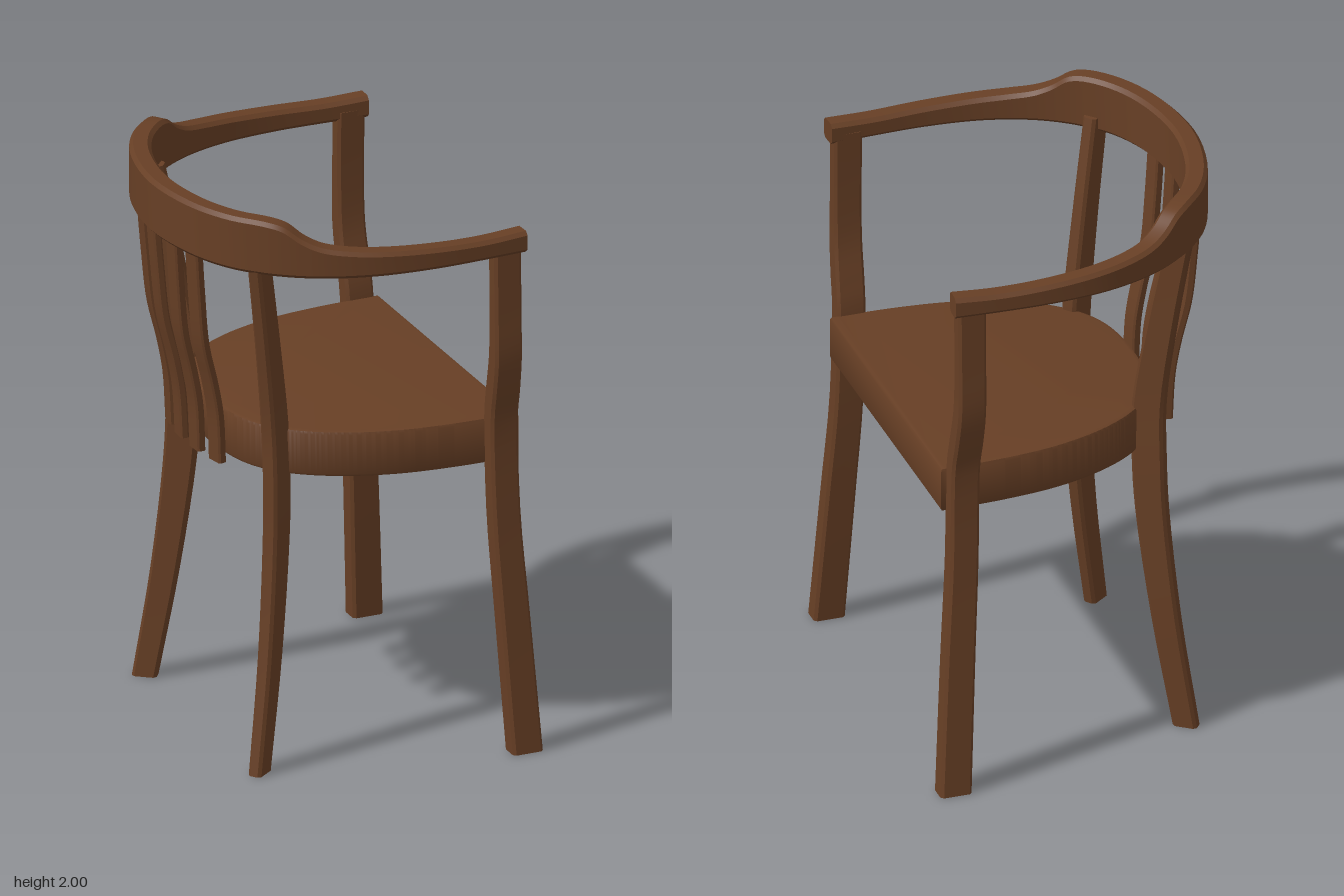
import * as THREE from 'three';
import { toCreasedNormals } from 'three/addons/utils/BufferGeometryUtils.js';

const V = (x, y, z) => new THREE.Vector3(x, y, z);

// Corners of a chamfered rectangle, counterclockwise, in the u/v plane
function ring(center, u, v, w, h, c = 0.01) {
  const a = w / 2, b = h / 2;
  return [[a, c - b], [a, b - c], [a - c, b], [c - a, b], [-a, b - c], [-a, c - b], [c - a, -b], [a - c, -b]]
    .map(([p, q]) => center.clone().addScaledVector(u, p).addScaledVector(v, q));
}

// Closed solid through a list of rings
function loft(rings) {
  const pos = [], n = rings[0].length;
  const tri = (...pts) => pts.forEach((p) => pos.push(p.x, p.y, p.z));
  for (let i = 0; i < rings.length - 1; i++) {
    for (let j = 0; j < n; j++) {
      const k = (j + 1) % n, a = rings[i], b = rings[i + 1];
      tri(a[j], a[k], b[k]);
      tri(a[j], b[k], b[j]);
    }
  }
  const s = rings[0], e = rings[rings.length - 1];
  for (let j = 1; j < n - 1; j++) {
    tri(s[0], s[j + 1], s[j]);
    tri(e[0], e[j], e[j + 1]);
  }
  const g = new THREE.BufferGeometry();
  g.setAttribute('position', new THREE.Float32BufferAttribute(pos, 3));
  return toCreasedNormals(g, 0.55);
}

// Curved upright: keys are [x, y, z, length, width], turned about y by angle
function upright(keys, side, angle, steps = 24) {
  const path = new THREE.CatmullRomCurve3(keys.map((k) => V(k[0], k[1], k[2] * side)), false, 'centripetal');
  const size = new THREE.CatmullRomCurve3(keys.map((k) => V(k[3], k[4], k[1])), false, 'centripetal');
  const u = V(Math.cos(angle), 0, Math.sin(angle) * side);
  const v = V(Math.sin(angle) * side, 0, -Math.cos(angle));
  const rings = [];
  for (let i = 0; i <= steps; i++) {
    const s = size.getPoint(i / steps);
    rings.push(ring(path.getPoint(i / steps), u, v, s.x, s.y, Math.min(0.01, s.x * 0.2)));
  }
  return loft(rings);
}

export function createModel() {
  const wood = new THREE.MeshStandardMaterial({ color: 0x673f25 });
  wood.name = 'brown wood';
  const chair = new THREE.Group();
  chair.name = 'armchair';
  const add = (name, geometry) => {
    const m = new THREE.Mesh(geometry, wood);
    m.name = name;
    chair.add(m);
    return m;
  };

  // Seat: straight front, rounded back
  const half = [[0.1, 0.515], [-0.08, 0.455], [-0.22, 0.365], [-0.305, 0.25], [-0.34, 0.1]];
  const outline = new THREE.Shape();
  outline.moveTo(0.51, -0.545);
  outline.lineTo(0.505, 0.545);
  outline.splineThru([[0.3, 0.54], ...half, ...half.slice().reverse().map(([x, z]) => [x, -z]), [0.3, -0.54], [0.51, -0.545]]
    .map(([x, z]) => new THREE.Vector2(x, z)));
  const seat = new THREE.ExtrudeGeometry(outline, {
    depth: 0.14, bevelThickness: 0.012, bevelSize: 0.015, bevelSegments: 2, curveSegments: 40,
  });
  seat.rotateX(-Math.PI / 2).translate(0, 1.031, 0);
  add('seat', toCreasedNormals(seat, 0.5));

  // Legs, running from the floor up to the rail
  const front = [
    [0.507, 0, 0.647, 0.11, 0.075], [0.478, 0.5, 0.61, 0.105, 0.075], [0.457, 0.85, 0.588, 0.1, 0.075],
    [0.45, 1.2, 0.585, 0.1, 0.072], [0.447, 1.3, 0.607, 0.1, 0.075], [0.444, 1.43, 0.633, 0.098, 0.07],
    [0.443, 1.6, 0.636, 0.098, 0.06], [0.443, 1.84, 0.632, 0.1, 0.06],
  ];
  const rear = [
    [-0.378, 0, 0.463, 0.085, 0.048], [-0.322, 0.4, 0.423, 0.095, 0.052], [-0.284, 0.8, 0.388, 0.108, 0.055],
    [-0.277, 1.0, 0.378, 0.112, 0.055], [-0.281, 1.2, 0.37, 0.11, 0.055], [-0.317, 1.5, 0.395, 0.1, 0.052],
    [-0.37, 1.86, 0.435, 0.09, 0.05],
  ];
  for (const side of [1, -1]) {
    const word = side > 0 ? 'left' : 'right';
    add(word + 'FrontLeg', upright(front, side, 0));
    add(word + 'RearLeg', upright(rear, side, -0.65));
    // Back slats, bent to follow the sitter's back
    for (const [i, z, dx] of [[1, 0.068, 0], [2, 0.19, 0.018]]) {
      const keys = [
        [-0.425, 1.03, z - 0.005, 0.03, 0.068], [-0.434, 1.2, z - 0.002, 0.03, 0.068],
        [-0.455, 1.32, z, 0.03, 0.068], [-0.49, 1.47, z + 0.005, 0.03, 0.068],
        [-0.508, 1.65, z + 0.01, 0.03, 0.07], [-0.522, 1.84, z + 0.016, 0.03, 0.07],
      ].map(([x, ...r]) => [x + dx, ...r]);
      add(word + 'Slat' + i, upright(keys, side, -z));
    }
  }

  // Arm and back rail: [x, top height, z], from one arm end round to the other
  const arm = [
    [0.505, 1.883, 0.637], [0.35, 1.877, 0.645], [0.18, 1.882, 0.648], [0, 1.892, 0.632], [-0.12, 1.903, 0.602],
    [-0.2, 1.918, 0.57], [-0.255, 1.945, 0.54], [-0.305, 1.985, 0.506], [-0.35, 1.998, 0.468],
    [-0.43, 2, 0.375], [-0.495, 2, 0.23],
  ];
  const path = new THREE.CatmullRomCurve3([
    ...arm.map(([x, y, z]) => V(x, y, -z)), V(-0.53, 2, 0), ...arm.slice().reverse().map((p) => V(...p)),
  ], false, 'centripetal');
  const up = V(0, 1, 0), rings = [];
  for (let i = 0; i <= 96; i++) {
    const p = path.getPoint(i / 96), t = path.getTangent(i / 96).setY(0).normalize();
    const bottom = 1.807, top = p.y;
    p.y = (top + bottom) / 2;
    rings.push(ring(p, up.clone().cross(t), up, 0.074, top - bottom, 0.013));
  }
  add('armAndBackRail', loft(rings));
  return chair;
}
